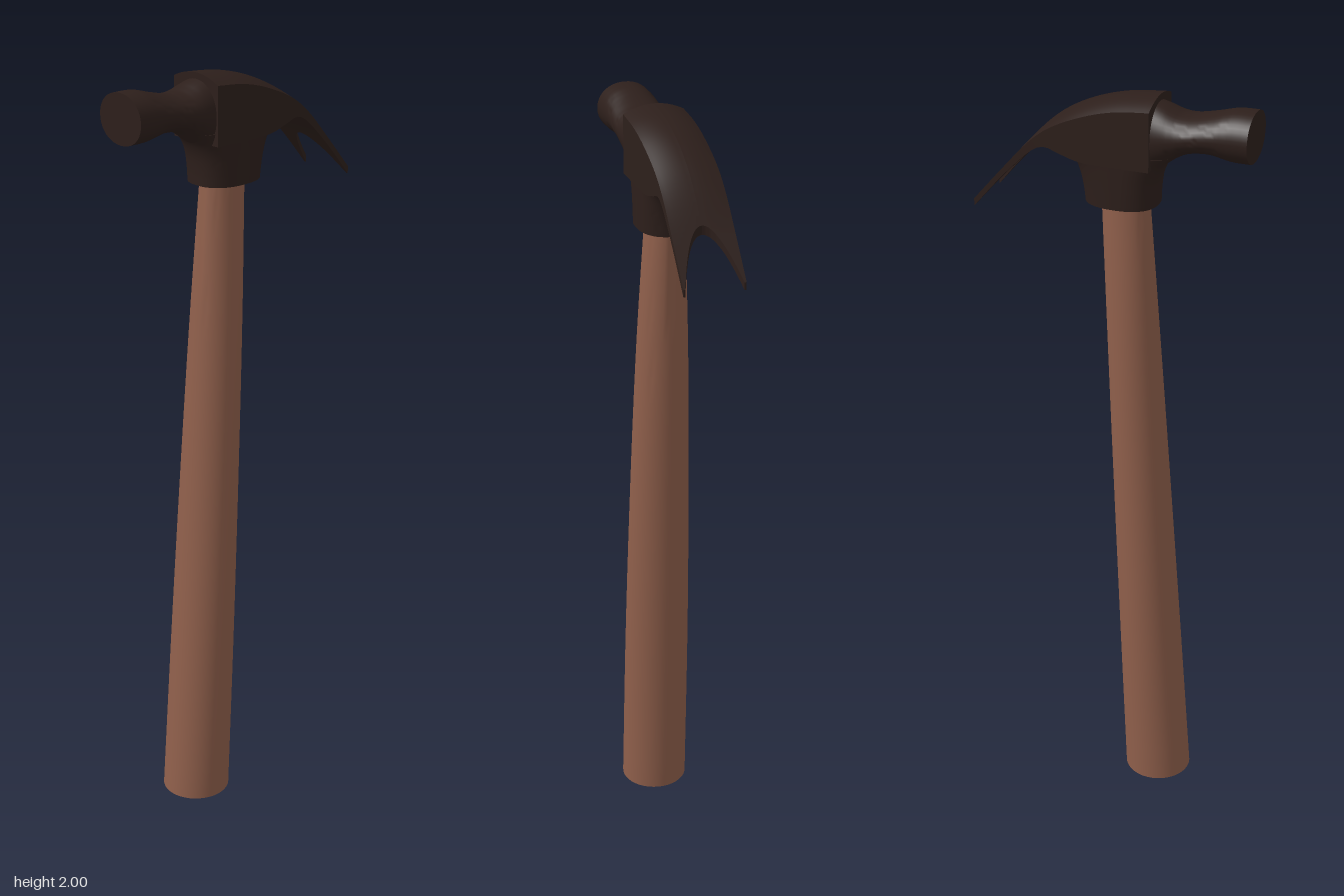
import * as THREE from 'three';
import { toCreasedNormals } from 'three/addons/utils/BufferGeometryUtils.js';

// Smooth y(x) lookup through a few control points
function profile(points) {
  const pts = new THREE.SplineCurve(points.map(p => new THREE.Vector2(...p))).getPoints(120);
  return x => {
    let i = 1;
    while (i < pts.length - 1 && pts[i].x < x) i++;
    const a = pts[i - 1], b = pts[i];
    return THREE.MathUtils.lerp(a.y, b.y, THREE.MathUtils.clamp((x - a.x) / (b.x - a.x), 0, 1));
  };
}

// Capped skin over a row of closed cross-sections, always facing outward
function loft(rings, crease = 0.6) {
  const n = rings[0].length, pos = [], tris = [];
  rings.forEach(r => r.forEach(p => pos.push(p)));
  for (let i = 0; i < rings.length - 1; i++) {
    for (let j = 0; j < n; j++) {
      const a = i * n + j, b = i * n + (j + 1) % n;
      tris.push([a, b, a + n], [b, b + n, a + n]);
    }
  }
  [0, rings.length - 1].forEach(k => {
    const mid = new THREE.Vector3();
    rings[k].forEach(p => mid.addScaledVector(p, 1 / n));
    const c = pos.push(mid) - 1;
    for (let j = 0; j < n; j++) {
      const a = k * n + j, b = k * n + (j + 1) % n;
      tris.push(k ? [c, a, b] : [c, b, a]);
    }
  });
  const cross = new THREE.Vector3();
  const volume = tris.reduce((s, [a, b, c]) => s + pos[a].dot(cross.crossVectors(pos[b], pos[c])), 0);
  if (volume < 0) tris.forEach(t => t.reverse());
  const g = new THREE.BufferGeometry().setFromPoints(pos);
  g.setIndex(tris.flat());
  return toCreasedNormals(g, crease);
}

// Superellipse loop in two unit coordinates; power 2 is a true ellipse
function oval(power, place, n = 40) {
  return Array.from({ length: n }, (_, i) => {
    const t = i / n * Math.PI * 2, c = Math.cos(t), s = Math.sin(t);
    return place(Math.sign(c) * Math.abs(c) ** (2 / power), Math.sign(s) * Math.abs(s) ** (2 / power));
  });
}

export function createModel() {
  const group = new THREE.Group();
  const wood = new THREE.MeshStandardMaterial({ color: 0x8f5f4b });
  const iron = new THREE.MeshStandardMaterial({ color: 0x2d1f1b });
  const add = (name, geometry, material) => {
    const mesh = new THREE.Mesh(geometry, material);
    mesh.name = name;
    group.add(mesh);
  };

  // Leaning, tapered handle
  const handleDepth = profile([[0, 0.09], [0.5, 0.087], [1, 0.078], [1.4, 0.066], [1.76, 0.048]]);
  const handleRings = [];
  for (let i = 0; i <= 20; i++) {
    const y = 1.76 * i / 20, k = y / 1.72;
    const cx = -0.127 + 0.103 * k, rx = 0.09 - 0.029 * k, rz = handleDepth(y);
    handleRings.push(oval(2, (u, v) => new THREE.Vector3(cx + rx * u, y, rz * v)));
  }
  add('handle', loft(handleRings), wood);

  // Socket flaring from the collar up into the head
  const socketLeft = profile([[1.72, -0.11], [1.76, -0.111], [1.8, -0.117], [1.835, -0.134], [1.86, -0.165]]);
  const socketRight = profile([[1.72, 0.075], [1.76, 0.079], [1.8, 0.088], [1.83, 0.104], [1.86, 0.145]]);
  const socketRings = [];
  for (let i = 0; i <= 14; i++) {
    const y = 1.72 + 0.14 * i / 14, l = socketLeft(y), r = socketRight(y);
    const power = 2.4 + 0.6 * i / 14;
    socketRings.push(oval(power, (u, v) =>
      new THREE.Vector3((l + r) / 2 + (r - l) / 2 * u, y, 0.076 * v)));
  }
  add('socket', loft(socketRings), iron);

  // Neck and striking face
  const neckTop = profile([[-0.35, 1.99], [-0.3, 1.988], [-0.25, 1.974], [-0.2, 1.963], [-0.165, 1.965], [-0.13, 1.978], [-0.09, 1.99]]);
  const neckBottom = profile([[-0.35, 1.864], [-0.3, 1.865], [-0.25, 1.876], [-0.2, 1.872], [-0.165, 1.856], [-0.13, 1.83], [-0.09, 1.8]]);
  const neckRings = [];
  for (let i = 0; i <= 26; i++) {
    const x = -0.35 + 0.26 * i / 26, t = neckTop(x), b = neckBottom(x);
    neckRings.push(oval(2.1, (u, v) => new THREE.Vector3(x, (t + b) / 2 + (t - b) / 2 * v, 0.073 * u)));
  }
  add('strikingFace', loft(neckRings), iron);

  // Crowned head top running into the split claw, one half per side
  const top = profile([[-0.11, 2], [-0.02, 1.99], [0.065, 1.965], [0.14, 1.925], [0.2, 1.872], [0.275, 1.783], [0.35, 1.695]]);
  const under = profile([[-0.11, 1.83], [0.05, 1.83], [0.12, 1.846], [0.16, 1.858], [0.2, 1.838], [0.275, 1.763], [0.35, 1.676]]);
  const notch = 0.253, stations = [];
  for (let i = 0; i < 24; i++) stations.push(-0.11 + (notch + 0.11) * i / 24);
  for (let i = 0; i <= 14; i++) stations.push(notch + (0.35 - notch) * (i / 14) ** 2);
  for (const side of [1, -1]) {
    const rings = stations.map(x => {
      const inner = 0.073 * Math.sqrt(Math.max(0, (x - notch) / (0.35 - notch)));
      const outer = 0.078;
      const crown = 0.02 * (1 - THREE.MathUtils.smoothstep(x, 0.05, 0.3));
      const ring = [];
      for (let j = 0; j <= 8; j++) {
        const z = inner + (outer - inner) * j / 8;
        ring.push(new THREE.Vector3(x, top(x) - crown * (z / outer) ** 2, side * z));
      }
      ring.push(new THREE.Vector3(x, under(x), side * outer), new THREE.Vector3(x, under(x), side * inner));
      return ring;
    });
    add(side > 0 ? 'frontClaw' : 'backClaw', loft(rings), iron);
  }
  return group;
}
